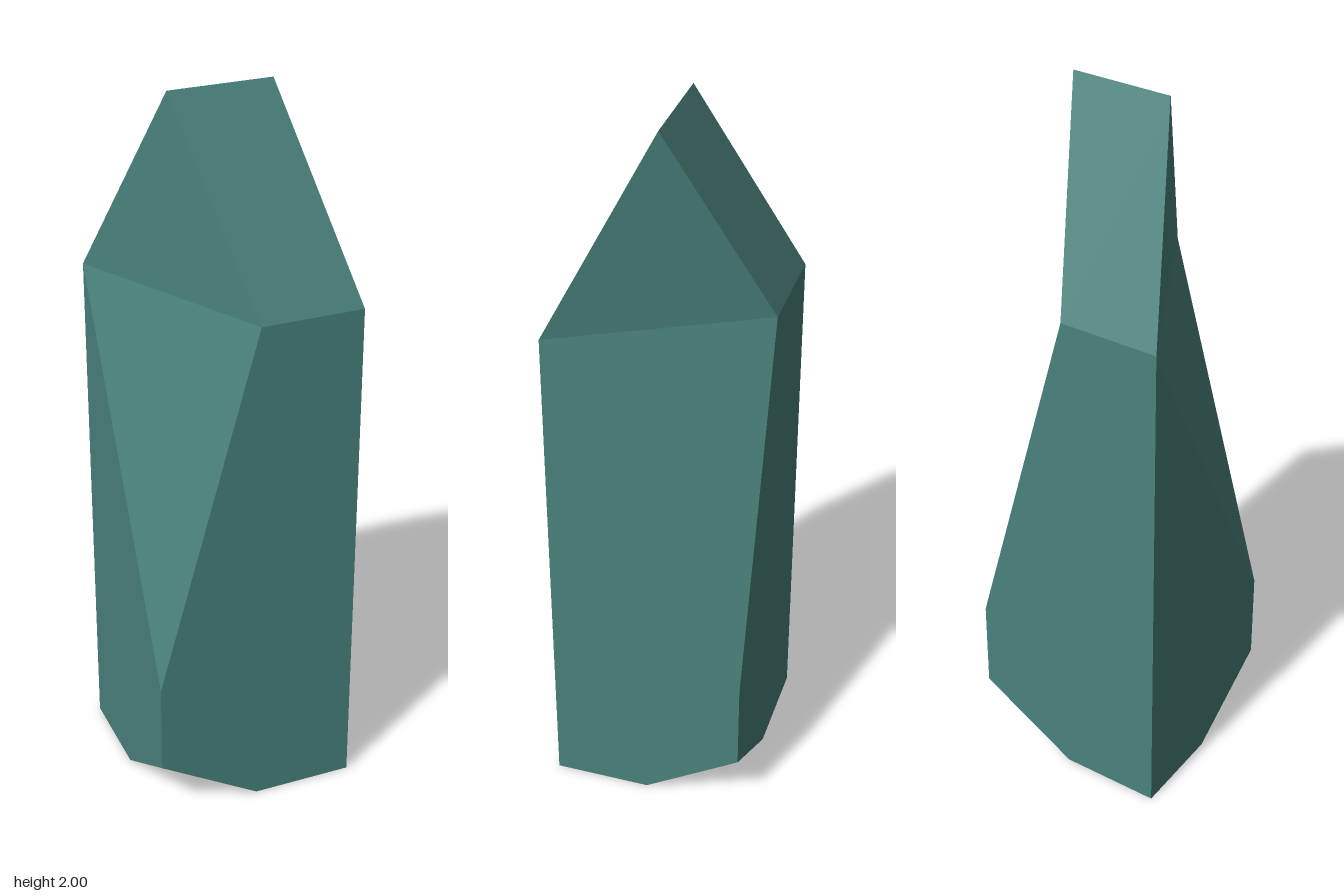
import * as THREE from 'three';

// Corners of one half; the other half is the same turned 180 degrees about y.
const shoulder = 1.46, notch = 0.17, facet = 0.43;
const P = {
  sideTop: [-0.39, shoulder, 0.01], sideLow: [-0.39, 0, 0.01],
  frontTop: [-0.01, facet, 0.39], frontLow: [-0.01, notch, 0.39],
  midTop: [0.19, shoulder, 0.19], midLow: [0.19, 0, 0.19],
  tip: [-0.2, 0, 0.2], ridge: [-0.1, 2, 0.1],
};
const turn = ([x, y, z]) => [-x, y, -z];

// Build a flat-faced mesh from convex polygons, each cut as a fan.
function facetMesh(name, polygons, material) {
  const pos = [];
  for (const p of polygons)
    for (let i = 1; i < p.length - 1; i++) pos.push(...p[0], ...p[i], ...p[i + 1]);
  const geo = new THREE.BufferGeometry();
  geo.setAttribute('position', new THREE.Float32BufferAttribute(pos, 3));
  geo.computeVertexNormals();
  const mesh = new THREE.Mesh(geo, material);
  mesh.name = name;
  return mesh;
}

export function createModel() {
  const group = new THREE.Group();
  group.name = 'crystal';
  const stone = new THREE.MeshStandardMaterial({ color: 0x4a827c, flatShading: true });
  const farTop = turn(P.sideTop), farLow = turn(P.sideLow), farRidge = turn(P.ridge);

  const parts = {
    // narrow wall with a pointed flap at its foot, and the wide wall beside it
    walls: [
      [P.sideLow, P.tip, P.frontLow, P.frontTop, P.sideTop],
      [P.frontLow, P.midLow, farLow, farTop, P.midTop, P.frontTop],
    ],
    // upright gable and the slanted facet below it
    facets: [
      [P.sideTop, P.midTop, P.ridge],
      [P.sideTop, P.frontTop, P.midTop],
    ],
    roof: [[P.midTop, farTop, farRidge, P.ridge]],
    // sloping underside of the notch and the back of the flap
    undercut: [
      [P.sideLow, P.midLow, P.frontLow],
      [P.sideLow, P.frontLow, P.tip],
    ],
  };

  for (const [name, polygons] of Object.entries(parts)) {
    const both = [...polygons, ...polygons.map((p) => p.map(turn))];
    group.add(facetMesh(name, both, stone));
  }

  // flat foot strip
  group.add(facetMesh('base', [[P.sideLow, turn(P.midLow), farLow, P.midLow]], stone));
  return group;
}
